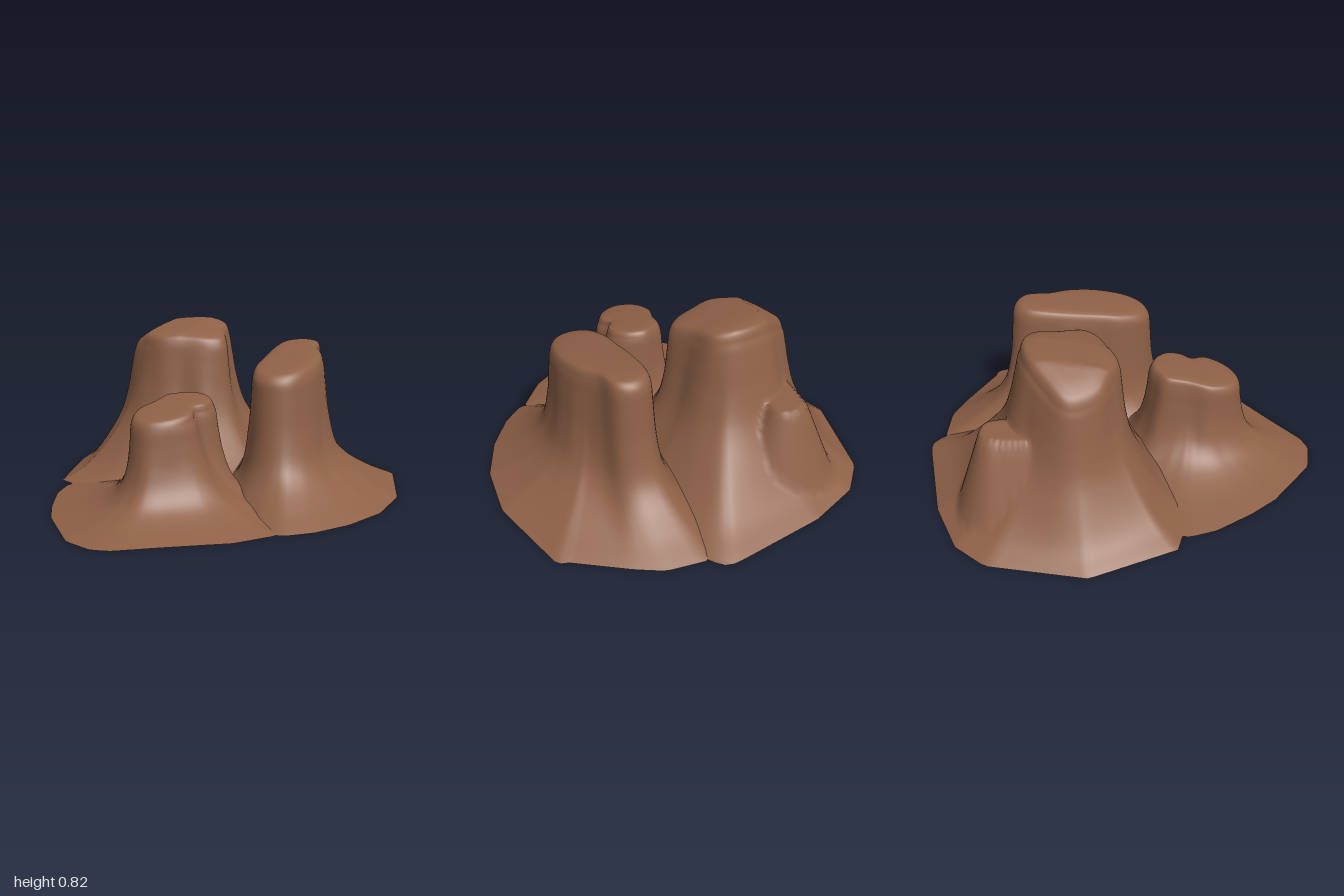
import * as THREE from 'three';

const SEG = 128, RINGS = 56;
const V = (x, z) => new THREE.Vector2(x, z);

// distance from a centre to a closed outline along one direction
function reach(outline, cx, cz, a) {
  const dx = Math.cos(a), dz = Math.sin(a);
  let best = 0;
  outline.forEach((p, i) => {
    const q = outline[(i + 1) % outline.length];
    const ex = q.x - p.x, ez = q.y - p.y, px = p.x - cx, pz = p.y - cz;
    const det = ex * dz - dx * ez;
    if (Math.abs(det) < 1e-9) return;
    const t = (ex * pz - px * ez) / det, s = (dx * pz - dz * px) / det;
    if (s >= -1e-6 && s <= 1 + 1e-6 && t > best) best = t;
  });
  return best;
}

// rounded closed outline through a few points
function rounded(pts) {
  const c = new THREE.CatmullRomCurve3(pts.map(([x, z]) => new THREE.Vector3(x, 0, z)), true);
  return c.getPoints(90).slice(0, -1).map(p => V(p.x, p.z));
}

// open-bottomed shell lofted from the cap outline out to the foot outline;
// steep = [x, z] makes the walls on that side steeper and the opposite side fuller
function butte({ name, centre: [cx, cz], cap, foot, height, profile, rule, flute, steep }, material) {
  const top = rounded(cap), base = foot.map(([x, z]) => V(x, z));
  const rays = Array.from({ length: SEG }, (_, i) => {
    const a = i / SEG * Math.PI * 2;
    return { a, rt: reach(top, cx, cz, a), rb: reach(base, cx, cz, a) };
  });
  // profile points: [spread, height]; spread -1..0 covers the cap, 0..1 the wall and skirt
  const curve = new THREE.CatmullRomCurve3(
    profile.map(([u, h]) => new THREE.Vector3(u, h, 0)), false, 'centripetal');
  const rows = curve.getPoints(RINGS);
  const pos = [], index = [];
  rows.forEach(({ x: u, y: h }) => {
    rays.forEach(({ a, rt, rb }) => {
      const c = Math.cos(a), s = Math.sin(a);
      let r = u < 0 ? rt * (1 + u) : rt + (rb - rt) * u ** (1 + steep[0] * c + steep[1] * s);
      // shallow vertical weathering on the walls
      const wall = Math.max(0, Math.min(1, u * 10)) * Math.max(0, 1 - u) ** 2;
      r += flute * wall * (Math.sin(a * 5 + cx * 9) + 0.6 * Math.sin(a * 9 + 1));
      const rc = Math.min(r, rt), x = cx + c * r, z = cz + s * r;
      let y = Math.max(0, h) * height(cx + c * rc, cz + s * rc);
      if (rule && u > 0) y = rule(x, y, z);
      pos.push(x, y, z);
    });
  });
  for (let j = 0; j < rows.length - 1; j++) {
    for (let i = 0; i < SEG; i++) {
      const k = (i + 1) % SEG;
      const a = j * SEG + i, b = j * SEG + k, c = a + SEG, d = b + SEG;
      if (j > 0) index.push(a, b, c);
      index.push(b, d, c);
    }
  }
  const g = new THREE.BufferGeometry();
  g.setAttribute('position', new THREE.Float32BufferAttribute(pos, 3));
  g.setIndex(index);
  g.computeVertexNormals();
  const mesh = new THREE.Mesh(g, material);
  mesh.name = name;
  return mesh;
}

// lower shoulder at the back of the tall butte and a small ridge at its front foot
function shoulder(x, y, z) {
  const d = Math.hypot((x + 0.42) * 0.8, Math.min(0, z + 0.58));
  const bump = z < -0.3 ? 0.46 - 3 * Math.max(0, d - 0.07) : 0;
  const ridge = 0.13 - 0.9 * Math.hypot(x + 0.54, z - 0.13);
  return Math.max(y, bump, y > 0.01 ? ridge : 0);
}

export function createModel() {
  const rock = new THREE.MeshStandardMaterial({ color: 0x8f6147, side: THREE.DoubleSide });
  rock.name = 'red brown rock';
  const group = new THREE.Group();
  group.name = 'rockButtes';

  group.add(butte({
    name: 'tallButte', centre: [-0.25, -0.22], flute: 0.007, steep: [0.12, 0.1],
    cap: [[-0.55, -0.24], [-0.47, -0.34], [-0.35, -0.43], [-0.2, -0.46], [-0.1, -0.42], [-0.05, -0.3],
      [0.01, -0.17], [-0.04, -0.1], [-0.15, -0.05], [-0.28, 0], [-0.4, -0.04], [-0.49, -0.09]],
    foot: [[-0.9, -0.15], [-0.82, -0.62], [-0.7, -0.77], [-0.45, -0.89], [0.02, -1], [0.08, -0.99],
      [0.13, -0.93], [0.22, -0.75], [0.32, -0.5], [0.35, -0.1], [0.25, 0.12], [0, 0.25],
      [-0.25, 0.3], [-0.48, 0.32], [-0.63, 0.29], [-0.73, 0.26]],
    height: (x, z) => 0.765 - 0.16 * z - 0.5 * Math.max(0, -0.38 - x) - 0.15 * Math.max(0, x + 0.2),
    profile: [[-1, 1], [-0.5, 1], [-0.2, 0.99], [-0.06, 0.965], [0, 0.91], [0.04, 0.8], [0.1, 0.63],
      [0.2, 0.46], [0.42, 0.27], [0.7, 0.1], [1, 0]],
    rule: shoulder,
  }, rock));

  group.add(butte({
    name: 'longButte', centre: [0.37, -0.18], flute: 0.006, steep: [0, 0],
    cap: [[0.21, -0.46], [0.25, -0.52], [0.32, -0.54], [0.39, -0.51], [0.43, -0.4], [0.5, -0.28],
      [0.545, -0.12], [0.53, 0.05], [0.48, 0.13], [0.4, 0.16], [0.32, 0.13], [0.26, 0.02],
      [0.24, -0.1], [0.21, -0.3]],
    foot: [[0.12, -0.94], [0.32, -0.93], [0.45, -0.87], [0.7, -0.73], [0.75, -0.72], [0.9, -0.3],
      [0.9, -0.02], [0.83, 0.2], [0.73, 0.37], [0.62, 0.48], [0.5, 0.45], [0.35, 0.36], [0.15, 0.2],
      [-0.02, -0.05], [-0.07, -0.35], [-0.03, -0.65], [0.05, -0.85]],
    height: (x, z) => 0.665 - 0.15 * z,
    profile: [[-1, 1], [-0.5, 1], [-0.2, 0.99], [-0.07, 0.97], [0, 0.92], [0.03, 0.8], [0.08, 0.56],
      [0.18, 0.35], [0.33, 0.23], [0.65, 0.1], [1, 0]],
  }, rock));

  group.add(butte({
    name: 'smallButte', centre: [0.02, 0.38], flute: 0.005, steep: [-0.15, 0.1],
    cap: [[-0.1, 0.22], [-0.05, 0.18], [0.01, 0.15], [0.1, 0.17], [0.16, 0.23], [0.165, 0.3], [0.135, 0.36],
      [0.165, 0.44], [0.12, 0.54], [0.02, 0.6], [-0.08, 0.565], [-0.13, 0.45], [-0.11, 0.33]],
    foot: [[-0.65, 0.32], [-0.61, 0.45], [-0.5, 0.63], [-0.4, 0.76], [-0.15, 0.97], [0, 1], [0.08, 0.97],
      [0.25, 0.83], [0.48, 0.65], [0.6, 0.48], [0.6, 0.3], [0.48, 0.1], [0.25, -0.08], [0, -0.12],
      [-0.3, -0.06], [-0.52, 0.08], [-0.63, 0.22]],
    height: (x, z) => 0.565 - 0.17 * z,
    profile: [[-1, 1], [-0.5, 1], [-0.2, 0.99], [-0.07, 0.97], [0, 0.91], [0.04, 0.72], [0.09, 0.52],
      [0.18, 0.34], [0.33, 0.2], [0.6, 0.09], [1, 0]],
  }, rock));

  return group;
}
